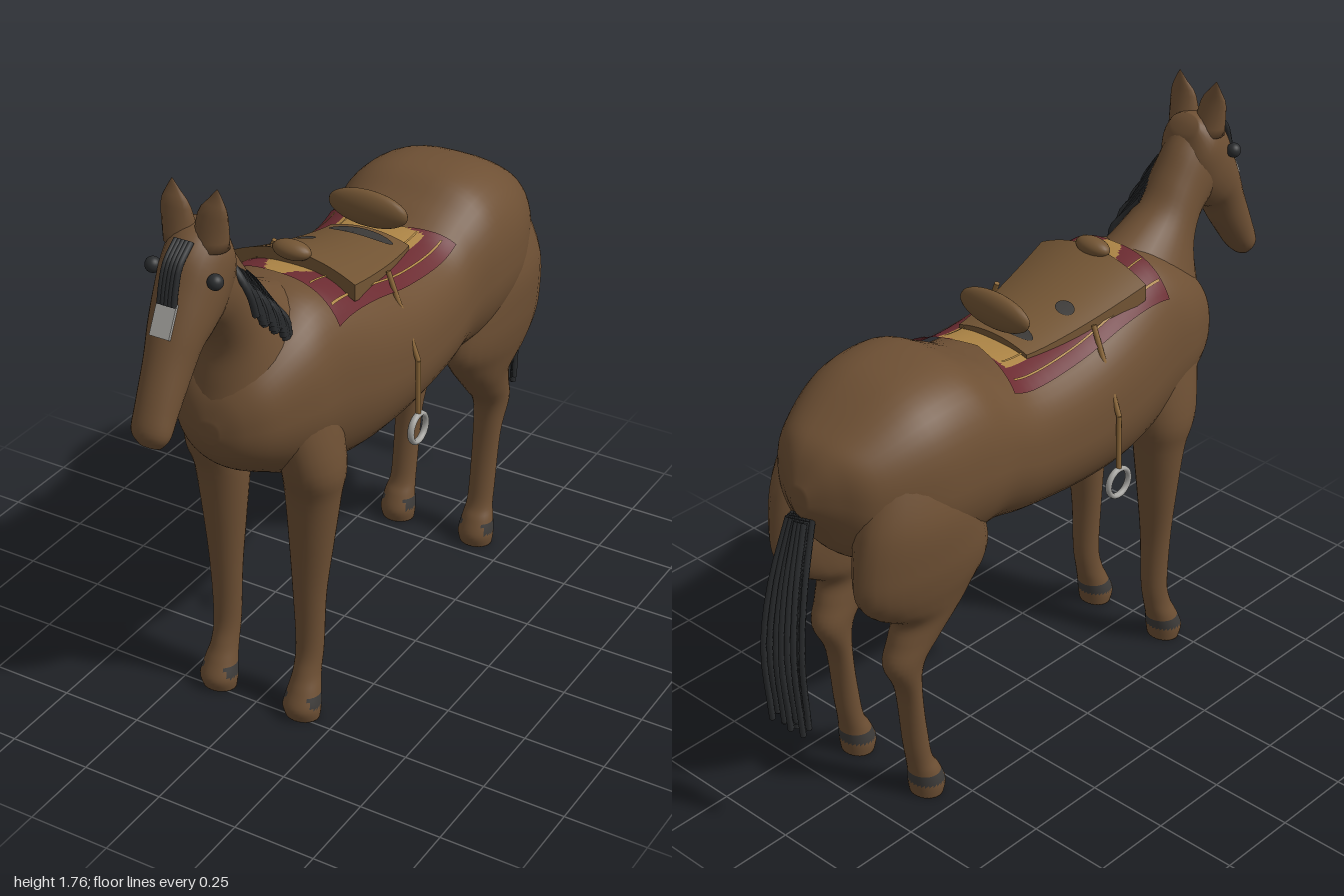
import * as THREE from 'three';

const mat = (name, color, side = THREE.FrontSide) => {
  const m = new THREE.MeshStandardMaterial({ color, side });
  m.name = name;
  return m;
};

// Catmull-Rom blend of the numeric rows, giving n steps per span
function refine(rows, n) {
  const out = [], last = rows.length - 1;
  for (let i = 0; i < last; i++) {
    const [a, b, c, d] = [rows[Math.max(i - 1, 0)], rows[i], rows[i + 1], rows[Math.min(i + 2, last)]];
    for (let k = 0; k < n; k++) {
      const t = k / n;
      out.push(b.map((_, q) => b[q] + 0.5 * t * (c[q] - a[q]
        + t * (2 * a[q] - 5 * b[q] + 4 * c[q] - d[q] + t * (3 * (b[q] - c[q]) + d[q] - a[q])))));
    }
  }
  out.push(rows[last]);
  return out;
}

// Sorts faces into two material groups by the position of their centre
function split(geo, isSecond) {
  const p = geo.attributes.position, idx = geo.index.array, parts = [[], []];
  for (let i = 0; i < idx.length; i += 3) {
    const f = [idx[i], idx[i + 1], idx[i + 2]];
    const mean = (g) => f.reduce((s, v) => s + g.call(p, v), 0) / 3;
    parts[isSecond(mean(p.getX), mean(p.getY), mean(p.getZ)) ? 1 : 0].push(...f);
  }
  geo.setIndex([...parts[0], ...parts[1]]);
  geo.clearGroups();
  geo.addGroup(0, parts[0].length, 0);
  geo.addGroup(parts[0].length, parts[1].length, 1);
  return geo;
}

// Skin over oval rings; each ring is [z0, y0, z1, y1, halfWidth, centreX]
function loft(rings, power = 1, sides = 28) {
  const pos = [], idx = [], n = rings.length;
  for (const [z0, y0, z1, y1, w, xc] of rings) {
    for (let j = 0; j < sides; j++) {
      const a = (j / sides) * Math.PI * 2, c = Math.cos(a), s = Math.sin(a);
      const e = c > 0 ? power : 1;
      const k = Math.sign(c) * Math.abs(c) ** e, x = Math.sign(s) * Math.abs(s) ** e;
      pos.push(xc + w * x, (y0 + y1) / 2 + (k * (y0 - y1)) / 2, (z0 + z1) / 2 + (k * (z0 - z1)) / 2);
    }
  }
  for (const r of [rings[0], rings[n - 1]]) pos.push(r[5], (r[1] + r[3]) / 2, (r[0] + r[2]) / 2);
  for (let j = 0; j < sides; j++) {
    const k = (j + 1) % sides, e = (n - 1) * sides;
    for (let i = 0; i < n - 1; i++) {
      const a = i * sides + j, b = i * sides + k;
      idx.push(a, a + sides, b, b, a + sides, b + sides);
    }
    idx.push(n * sides, j, k, n * sides + 1, e + k, e + j);
  }
  const g = new THREE.BufferGeometry();
  g.setAttribute('position', new THREE.Float32BufferAttribute(pos, 3));
  g.setIndex(idx);
  g.computeVertexNormals();
  return g;
}

// Moves every vertex of a geometry by a rule
function reshape(geo, rule) {
  const p = geo.attributes.position;
  for (let i = 0; i < p.count; i++) p.setXYZ(i, ...rule(p.getX(i), p.getY(i), p.getZ(i)));
  geo.computeVertexNormals();
  return geo;
}

// Torso rows: z, top, bottom, half width
const torsoRings = refine([
  [-0.885, 1.1, 1.02, 0.03], [-0.84, 1.185, 0.95, 0.11], [-0.77, 1.24, 0.85, 0.2], [-0.61, 1.325, 0.77, 0.268],
  [-0.44, 1.34, 0.75, 0.28], [-0.32, 1.285, 0.755, 0.265], [-0.2, 1.235, 0.735, 0.268], [0, 1.245, 0.715, 0.275],
  [0.2, 1.3, 0.71, 0.268], [0.38, 1.345, 0.74, 0.238], [0.5, 1.3, 0.8, 0.22], [0.62, 1.21, 0.87, 0.165],
  [0.68, 1.13, 0.93, 0.1], [0.705, 1.05, 0.99, 0.03],
].map(([z, t, b, w]) => [z, t, z, b, w, 0]), 6);
const TOP = 0.75;

// Height of the horse's back at (x, z)
function backY(x, z) {
  const i = Math.max(1, torsoRings.findIndex((r) => r[0] >= z));
  const a = torsoRings[i - 1], b = torsoRings[i], t = (z - a[0]) / (b[0] - a[0]);
  const [, top, , bot, w] = a.map((v, q) => v + (b[q] - v) * t);
  const k = Math.max(0, 1 - (Math.abs(x) / w) ** (2 / TOP)) ** (TOP / 2);
  return (top + bot) / 2 + (k * (top - bot)) / 2;
}

// Top of the saddle seat at (x, z)
const seatY = (x, z) => {
  const t = (z + 0.14) / 0.42;
  return 1.268 + 0.112 * t ** 1.4 - 1.3 * x * x;
};

export function createModel() {
  const coat = mat('brown coat', 0x6e5034), black = mat('black hair', 0x2a2c2e, THREE.DoubleSide);
  const dark = mat('charcoal marking', 0x3c3a38, THREE.DoubleSide), silver = mat('silver', 0xa5a4a0);
  const red = mat('red cloth', 0x6b2b31, THREE.DoubleSide), gold = mat('gold cloth', 0xac8445, THREE.DoubleSide);
  const leather = mat('saddle leather', 0x735534), strapTan = mat('strap tan', 0x8a6638);
  const horse = new THREE.Group();
  horse.name = 'saddledHorse';
  const add = (name, geo, m, x = 0, y = 0, z = 0) => {
    const mesh = new THREE.Mesh(geo, m);
    mesh.name = name;
    mesh.position.set(x, y, z);
    horse.add(mesh);
    return mesh;
  };
  const ball = (name, m, x, y, z, rx, ry, rz) =>
    add(name, new THREE.SphereGeometry(1, 24, 16), m, x, y, z).scale.set(rx, ry, rz);
  const strand = (name, pts, r) => add(name, new THREE.TubeGeometry(
    new THREE.CatmullRomCurve3(pts.map((p) => new THREE.Vector3(...p))), 10, r, 6), black);

  // Body, neck and head
  add('torso', loft(torsoRings, TOP, 48), coat);
  add('neck', loft(refine([
    [0.25, 1.24, 0.67, 0.96, 0.17, 0], [0.31, 1.31, 0.695, 1.05, 0.16, 0], [0.42, 1.36, 0.68, 1.15, 0.128, 0],
    [0.52, 1.42, 0.665, 1.25, 0.102, 0], [0.58, 1.5, 0.695, 1.33, 0.09, 0], [0.63, 1.575, 0.76, 1.39, 0.087, 0],
    [0.68, 1.63, 0.8, 1.46, 0.08, 0]], 5)), coat);
  add('head', loft(refine([
    [0.69, 1.66, 0.655, 1.61, 0.05, 0], [0.755, 1.65, 0.64, 1.5, 0.092, 0], [0.81, 1.605, 0.68, 1.4, 0.095, 0],
    [0.85, 1.525, 0.745, 1.35, 0.088, 0], [0.89, 1.44, 0.79, 1.325, 0.078, 0], [0.925, 1.36, 0.835, 1.255, 0.067, 0],
    [0.975, 1.245, 0.888, 1.183, 0.06, 0], [1.0, 1.17, 0.925, 1.138, 0.056, 0],
    [0.985, 1.127, 0.95, 1.115, 0.032, 0]], 5)), coat);

  // Face marking
  add('blaze', new THREE.BoxGeometry(0.06, 0.092, 0.009), silver, 0, 1.45, 0.886).rotation.x = -0.46;

  for (const s of [1, -1]) {
    const side = s > 0 ? 'left' : 'right';
    add(side + 'Ear', loft(refine([
      [0.685, 1.6, 0.775, 1.6, 0.05, s * 0.045], [0.715, 1.695, 0.755, 1.695, 0.045, s * 0.056],
      [0.724, 1.735, 0.74, 1.735, 0.023, s * 0.064], [0.729, 1.765, 0.731, 1.765, 0.002, s * 0.068]], 3), 1, 16), coat);
    ball(side + 'Eye', black, s * 0.095, 1.54, 0.79, 0.022, 0.022, 0.022);

    // Legs as rows of y, front z, back z, half width, centre x; dark band above the hoof and dark sole
    const leg = (name, rows) => {
      const rings = refine(rows.map(([y, zf, zb, w, x]) => [zf, y, zb, y, w, s * x]), 5);
      const hoofZ = (rows.at(-1)[1] + rows.at(-1)[2]) / 2;
      add(name, split(loft(rings), (x, y, z) =>
        y < 0.001 || (y > 0.046 && y < 0.082 && z < hoofZ + 0.03)), [coat, dark]);
    };
    leg(side + 'FrontLeg', [
      [1.1, 0.58, 0.32, 0.07, 0.13], [0.85, 0.535, 0.325, 0.088, 0.158], [0.73, 0.495, 0.345, 0.082, 0.15],
      [0.57, 0.478, 0.367, 0.067, 0.145], [0.4, 0.47, 0.385, 0.051, 0.141], [0.22, 0.468, 0.388, 0.042, 0.141],
      [0.14, 0.487, 0.4, 0.041, 0.141], [0.09, 0.51, 0.414, 0.049, 0.143], [0.04, 0.531, 0.425, 0.058, 0.143],
      [0, 0.52, 0.432, 0.053, 0.143]]);
    leg(side + 'HindLeg', [
      [1.16, -0.5, -0.74, 0.07, 0.16], [1.0, -0.42, -0.81, 0.112, 0.165], [0.86, -0.37, -0.835, 0.11, 0.165],
      [0.77, -0.36, -0.828, 0.1, 0.162], [0.7, -0.405, -0.775, 0.088, 0.156], [0.64, -0.46, -0.69, 0.075, 0.152],
      [0.57, -0.525, -0.7, 0.065, 0.147], [0.49, -0.592, -0.72, 0.056, 0.143], [0.38, -0.605, -0.672, 0.046, 0.141],
      [0.2, -0.582, -0.653, 0.042, 0.141], [0.13, -0.568, -0.642, 0.043, 0.141], [0.09, -0.546, -0.636, 0.05, 0.143],
      [0.04, -0.527, -0.632, 0.058, 0.143], [0, -0.535, -0.627, 0.053, 0.143]]);

    // Stirrup strap in two lengths, with its ring
    const pts = [[0.185, 1.275], [0.285, 1.02], [0.288, 0.845]];
    for (let i = 0; i < 2; i++) {
      const [x0, y0] = pts[i], [x1, y1] = pts[i + 1];
      const strap = add(side + 'StirrupStrap', new THREE.CylinderGeometry(0.008, 0.008, Math.hypot(x1 - x0, y1 - y0), 10),
        strapTan, (s * (x0 + x1)) / 2, (y0 + y1) / 2, 0.075);
      strap.rotation.z = s * Math.atan2(x1 - x0, y0 - y1);
    }
    const ring = add(side + 'Stirrup', new THREE.TorusGeometry(0.043, 0.008, 10, 32), silver, s * 0.288, 0.803, 0.075);
    ring.rotation.y = Math.PI / 2;
    ring.scale.z = 1.3;
  }

  // Saddle blanket draped over the back, red with gold wedges front and rear
  const drape = (x0, x1, z0, z1, lift, nx, nz) => reshape(new THREE.PlaneGeometry(1, 1, nx, nz), (u, v) => {
    const x = x0 + (x1 - x0) * (u + 0.5), rear = z0 - 0.35 * Math.abs(x);
    const z = z1 + (rear - z1) * (v + 0.5);
    return [x, backY(x, z) + lift, z];
  });
  add('saddleBlanket', split(drape(-0.21, 0.21, -0.2, 0.375, 0.016, 48, 60), (x, y, z) =>
    (z < 0 && Math.abs(x) < 0.13 && z > -0.225) || (z > 0.27 && Math.abs(x) < 0.03 + (0.37 - z) * 0.5)), [red, gold]);
  for (const s of [1, -1]) {
    for (const x of [0.11, 0.178]) {
      add('blanketStripe', drape(s * x - 0.003, s * x + 0.003, -0.18, 0.365, 0.021, 1, 40), gold);
    }
  }

  // Saddle seat, pommel and cantle
  add('saddleSeat', reshape(new THREE.BoxGeometry(1, 1, 1, 20, 1, 20), (u, v, w) => {
    const t = w + 0.5, x = 2 * u * (0.13 + 0.07 * t), z = -0.14 + 0.42 * t;
    return [x, seatY(x, z) - (v < 0 ? 0.05 : 0), z];
  }), leather);
  ball('pommel', leather, 0, 1.382, 0.278, 0.06, 0.028, 0.032);
  ball('cantle', leather, 0, 1.335, -0.13, 0.13, 0.056, 0.03);
  for (const [cx, cz, rx, rz] of [[-0.09, 0.06, 0.03, 0.024], [0, -0.09, 0.105, 0.028]]) {
    add('saddleWear', reshape(new THREE.CircleGeometry(1, 24), (u, v) => {
      const x = cx + u * rx, z = cz - v * rz;
      return [x, seatY(x, z) + 0.004, z];
    }), dark);
  }

  // Forelock, mane falling to the left, and tail
  for (let i = -2; i <= 2; i++) {
    const x = i * 0.011;
    strand('forelockStrand', [[x, 1.63, 0.785], [x, 1.585, 0.838], [x, 1.53, 0.86], [x, 1.485, 0.87]], 0.009);
  }
  for (let i = 0; i < 20; i++) {
    const t = i / 19, j = Math.sin(i * 7.3) * 0.012;
    strand('maneStrand', [[0.045, 1.545 - 0.125 * t, 0.665 - 0.125 * t], [0.092 + 0.008 * t, 1.49 - 0.135 * t, 0.665 - 0.135 * t],
      [0.113 + 0.015 * t, 1.44 - 0.13 * t + j, 0.655 - 0.14 * t], [0.118 + 0.015 * t, 1.38 - 0.12 * t + j, 0.64 - 0.13 * t]], 0.011);
  }
  for (let i = 0; i < 20; i++) {
    const x = ((i + 0.5) / 20 - 0.5) * 0.15, d = (i * 7 % 10) / 9, j = 0.02 * Math.sin(i * 5.1);
    strand('tailStrand', [[x * 0.45, 1.01, -0.865 - 0.035 * d], [x * 0.75, 0.82, -0.925 - 0.035 * d],
      [x * 0.95, 0.62, -0.96 - 0.03 * d], [x, 0.385 + j, -0.952 - 0.02 * d]], 0.009);
  }
  return horse;
}
